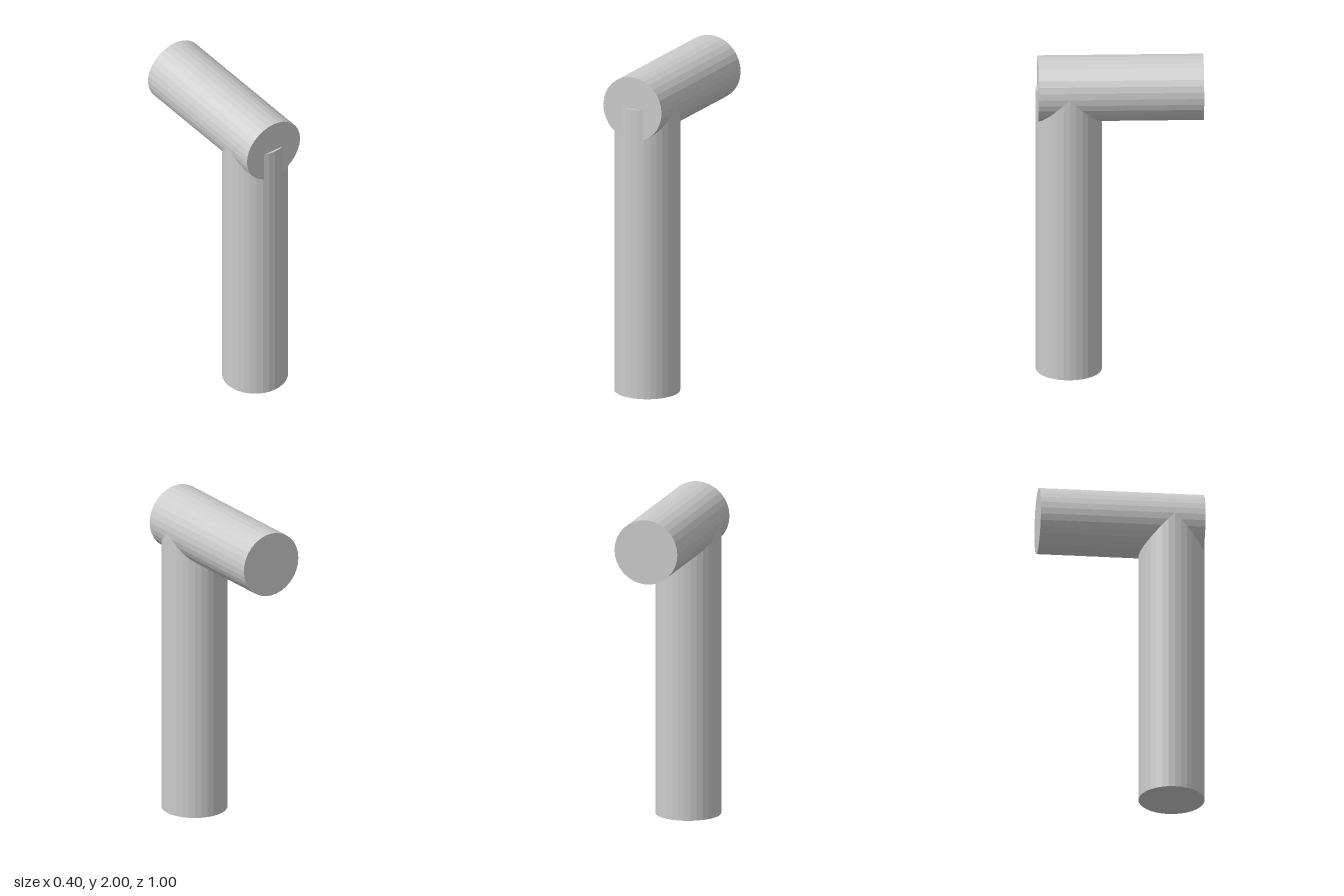
import * as THREE from 'three';

const RADIUS = 0.198;
const SIDES = 32;

export function createModel() {
  const group = new THREE.Group();
  const material = new THREE.MeshStandardMaterial({ color: 0xcccccc, flatShading: true });

  const addCylinder = (name, length) => {
    const mesh = new THREE.Mesh(new THREE.CylinderGeometry(RADIUS, RADIUS, length, SIDES), material);
    mesh.name = name;
    group.add(mesh);
    return mesh;
  };

  // Upright post, its top ending on the axis of the arm
  const postHeight = 2 - RADIUS;
  addCylinder('post', postHeight).position.set(0, postHeight / 2, 0.303);

  // Horizontal arm lying along z, reaching to the back
  const back = -0.501, front = 0.488;
  const arm = addCylinder('arm', front - back);
  arm.rotation.x = Math.PI / 2;
  arm.position.set(0, postHeight, (front + back) / 2);

  return group;
}
